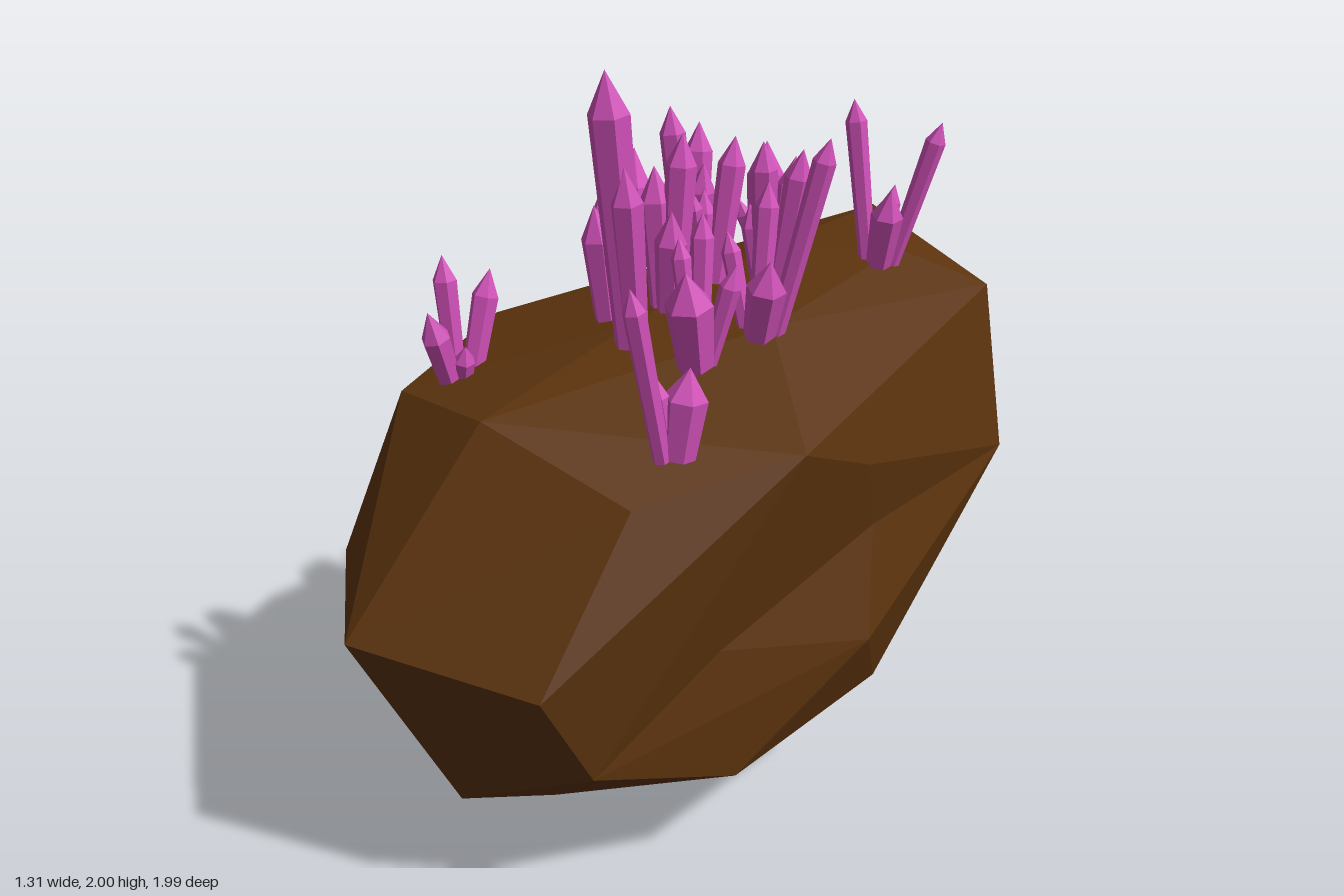
import * as THREE from 'three';
import { ConvexGeometry } from 'three/addons/geometries/ConvexGeometry.js';

const rockMat = new THREE.MeshStandardMaterial({ color: 0x5c330d, flatShading: true });
const crystalMat = new THREE.MeshStandardMaterial({ color: 0xd050b8, flatShading: true });
const UP = new THREE.Vector3(0, 1, 0);

// Faceted stone: convex hull over its corners
function makeStone(name, corners) {
  const points = corners.map((p) => new THREE.Vector3(...p));
  const stone = new THREE.Mesh(new ConvexGeometry(points), rockMat);
  stone.name = name;
  return stone;
}

// Main stone plus a lower flank, leaving a shallow hollow where they meet
function makeRock() {
  const keel = [[-0.04, 0.77, 0.99], [0, 0.2, 0.71], [0.04, 0.08, 0.43], [0.07, 0, 0.17],
    [0.07, 0.06, -0.1], [0.06, 0.22, -0.35], [0.07, 0.92, -1]];
  const crown = [[0, 1.22, 0.59], [0.02, 1.34, 0.1], [0.05, 1.43, -0.35], [0.07, 1.46, -0.79],
    [0.3, 1.43, -0.6], [0.3, 1.35, -0.1]];
  const leftSide = [[0.41, 0.72, 0.79], [0.41, 1.1, 0.5], [0.61, 1.18, 0.13], [0.52, 1.36, -0.7],
    [0.61, 0.93, -0.69], [0.62, 1.08, -0.1], [0.59, 0.88, -0.17], [0.42, 0.44, 0.64],
    [0.32, 0.14, 0.08]];
  const rightSide = [[-0.44, 0.75, 0.7], [-0.37, 1.17, 0.54], [-0.48, 1.24, 0.13], [-0.48, 1.22, -0.1],
    [-0.38, 1.21, -0.4], [-0.47, 1.03, -0.47], [-0.49, 0.87, -0.48], [-0.57, 1.01, 0.38],
    [-0.66, 0.77, 0.2], [-0.57, 0.77, 0.42], [-0.44, 0.36, 0.19], [-0.37, 0.4, 0.55],
    [-0.18, 0.16, 0.2], [-0.4, 0.36, -0.13], [-0.31, 0.39, -0.42]];
  const flank = [[0.65, 0.6, -0.1], [0.54, 0.36, -0.28], [0.53, 0.31, 0.26], [0.42, 0.44, 0.64],
    [0.59, 0.88, -0.17], [0.5, 0.68, 0.3], [0.61, 0.93, -0.69], [0.32, 0.14, 0.08]];
  const rock = new THREE.Group();
  rock.name = 'rock';
  rock.add(makeStone('rockBody', [...keel, ...crown, ...leftSide, ...rightSide]));
  rock.add(makeStone('rockFlank', [...keel.slice(1), ...flank]));
  return rock;
}

// Six-sided crystal, flaring to its shoulder and ending in a point
function makeCrystal(base, tip, r) {
  const dir = tip.clone().sub(base);
  const len = dir.length();
  const shoulder = len - Math.min(2 * r, len * 0.35);
  const profile = [[0, -0.01], [r * 0.78, -0.01], [r, shoulder], [0, len]];
  const geo = new THREE.LatheGeometry(profile.map((p) => new THREE.Vector2(...p)), 6);
  const crystal = new THREE.Mesh(geo, crystalMat);
  crystal.position.copy(base);
  crystal.quaternion.setFromUnitVectors(UP, dir.normalize());
  crystal.name = 'crystal';
  return crystal;
}

// Crystals fanning out of one spot; each tip is [x, y, z, radius]
function makeCluster(base, ...tips) {
  const cluster = new THREE.Group();
  cluster.name = 'crystalCluster';
  const root = new THREE.Vector3(...base);
  for (const [x, y, z, r] of tips) {
    const tip = new THREE.Vector3(x, y, z);
    // feet are spread a little toward the side each crystal leans to
    const foot = root.clone().lerp(new THREE.Vector3(x, root.y, z), 0.3);
    cluster.add(makeCrystal(foot, tip, r));
  }
  return cluster;
}

export function createModel() {
  const model = new THREE.Group();
  model.name = 'crystalRock';
  model.add(makeRock());

  // Back clusters
  model.add(makeCluster([-0.11, 1.37, -0.53], [-0.17, 1.63, -0.61, 0.054],
    [-0.15, 1.5, -0.47, 0.024], [-0.05, 1.5, -0.57, 0.024]));
  model.add(makeCluster([0.29, 1.42, -0.52], [0.21, 1.83, -0.5, 0.028],
    [0.42, 1.79, -0.59, 0.026], [0.35, 1.62, -0.49, 0.042], [0.28, 1.6, -0.6, 0.024]));

  // Central clusters
  model.add(makeCluster([0.17, 1.37, -0.23], [0.15, 1.7, -0.35, 0.038],
    [0.24, 1.75, -0.27, 0.036], [0.17, 1.77, -0.2, 0.035], [0.12, 1.6, -0.21, 0.03]));
  model.add(makeCluster([-0.07, 1.35, -0.21], [-0.13, 1.75, -0.29, 0.038],
    [-0.13, 1.81, -0.18, 0.035], [-0.02, 1.68, -0.19, 0.037]));
  model.add(makeCluster([0.04, 1.36, -0.14], [0.06, 1.76, -0.22, 0.036],
    [0.0, 1.62, -0.17, 0.03], [0.05, 1.65, -0.07, 0.025]));
  model.add(makeCluster([-0.14, 1.32, -0.03], [-0.2, 1.7, -0.12, 0.05],
    [-0.2, 1.58, 0.0, 0.038]));
  model.add(makeCluster([0.27, 1.33, -0.07], [0.41, 1.83, -0.16, 0.029],
    [0.34, 1.54, -0.04, 0.05], [0.25, 1.7, -0.13, 0.03], [0.19, 1.58, -0.05, 0.025]));
  model.add(makeCluster([0.03, 1.34, -0.01], [-0.02, 1.71, -0.01, 0.044],
    [0.05, 1.8, -0.04, 0.04], [0.07, 1.62, 0.02, 0.042]));
  model.add(makeCluster([-0.08, 1.33, 0.08], [-0.1, 1.62, 0.12, 0.044],
    [-0.06, 1.7, 0.05, 0.034], [-0.13, 1.65, 0.06, 0.03], [-0.02, 1.56, 0.09, 0.028]));
  model.add(makeCluster([0.09, 1.33, 0.15], [0.07, 2.0, 0.24, 0.052],
    [0.12, 1.78, 0.23, 0.042], [0.05, 1.6, 0.2, 0.034]));
  model.add(makeCluster([0.25, 1.31, 0.11], [0.27, 1.55, 0.18, 0.06],
    [0.22, 1.66, 0.07, 0.029], [0.32, 1.55, 0.06, 0.027], [0.18, 1.6, 0.11, 0.025]));

  // Front clusters
  model.add(makeCluster([-0.28, 1.18, 0.42], [-0.27, 1.4, 0.52, 0.038],
    [-0.33, 1.51, 0.42, 0.032], [-0.28, 1.46, 0.31, 0.035], [-0.23, 1.3, 0.44, 0.028]));
  model.add(makeCluster([0.4, 1.19, 0.35], [0.42, 1.4, 0.32, 0.052],
    [0.37, 1.61, 0.46, 0.028], [0.37, 1.38, 0.38, 0.024]));

  return model;
}
